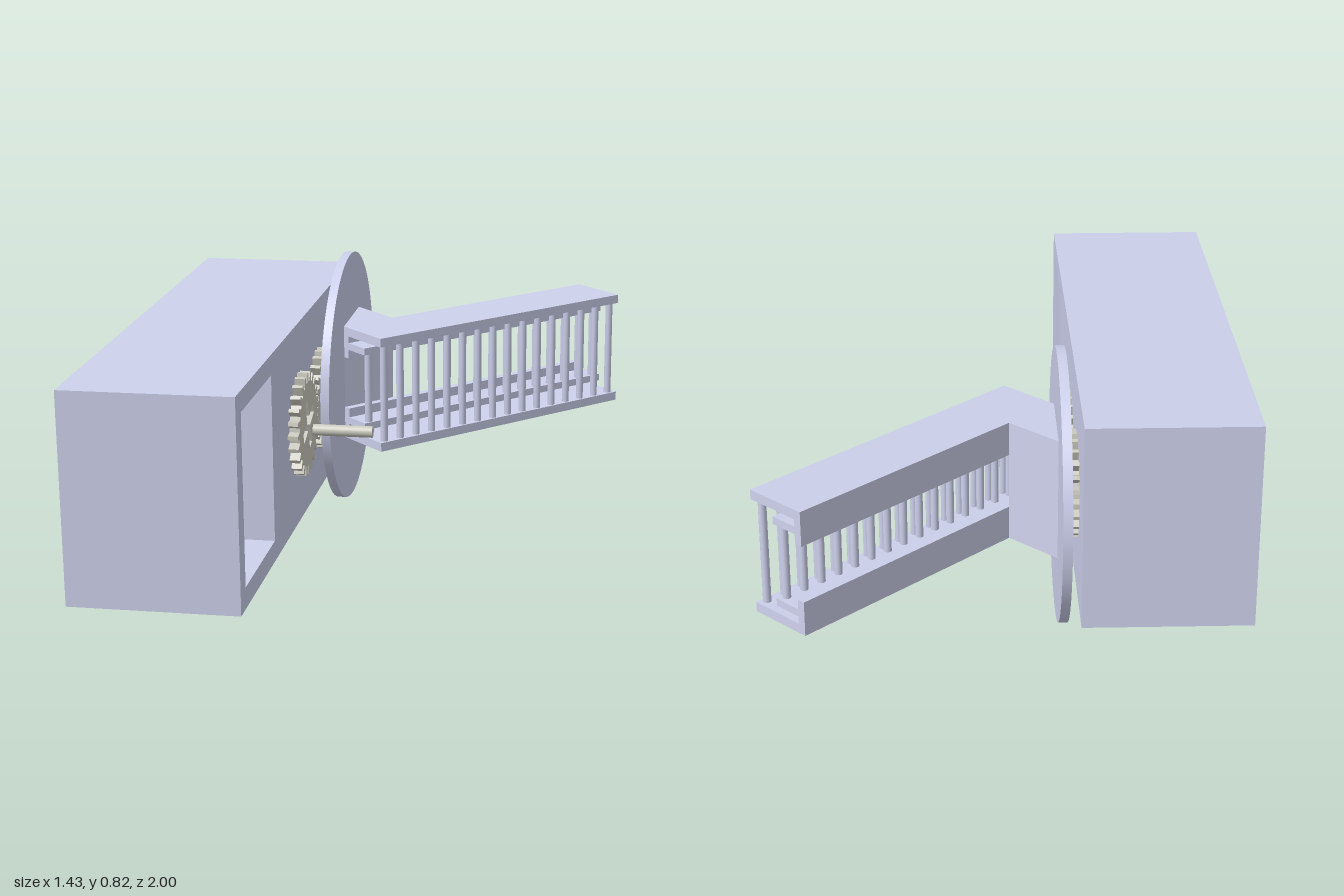
import * as THREE from 'three';

const grey = new THREE.MeshStandardMaterial({ color: 0xccd0eb });
const gearGrey = new THREE.MeshStandardMaterial({ color: 0xcccbc0 });

// Outline whose points are [z, y]; it is extruded along x.
const toPath = (pts, Type = THREE.Shape) =>
  new Type(pts.map(([z, y]) => new THREE.Vector2(-z, y)).reverse());
const rect = (z0, z1, y0, y1) => [[z0, y0], [z1, y0], [z1, y1], [z0, y1]];

function slab(name, shape, x0, x1, material = grey) {
  const geo = new THREE.ExtrudeGeometry(shape, { depth: x1 - x0, bevelEnabled: false });
  geo.rotateY(Math.PI / 2);
  geo.translate(x0, 0, 0);
  const mesh = new THREE.Mesh(geo, material);
  mesh.name = name;
  return mesh;
}

function rod(name, radius, length, sides, material = grey) {
  const mesh = new THREE.Mesh(new THREE.CylinderGeometry(radius, radius, length, sides), material);
  mesh.name = name;
  return mesh;
}

// Long case with a front compartment open on the left and a rear one open on the right
function makeCase() {
  const group = new THREE.Group();
  group.name = 'case';
  const front = rect(0.413, 0.793, -0.254, 0.254);
  const rear = rect(-0.793, 0.353, -0.254, 0.254);
  const layers = [
    ['rightWall', -0.715, -0.655, [rear]],
    ['compartments', -0.655, -0.27, [front, rear]],
    ['leftWall', -0.27, -0.21, [front]],
  ];
  for (const [name, x0, x1, holes] of layers) {
    const shape = toPath(rect(-0.8555, 0.8535, -0.317, 0.314));
    shape.holes = holes.map((h) => toPath(h, THREE.Path));
    group.add(slab(name, shape, x0, x1));
  }
  return group;
}

// Spur gear with a cross-shaped bore
function makeGear(name, z, phase) {
  const teeth = 24, step = (Math.PI * 2) / teeth;
  const pts = [];
  for (let i = 0; i < teeth; i++) {
    for (const [f, r] of [[-0.32, 0.134], [-0.14, 0.162], [0.14, 0.162], [0.32, 0.134]]) {
      const a = (i + f) * step + phase;
      pts.push([r * Math.cos(a), r * Math.sin(a)]);
    }
  }
  const shape = toPath(pts);
  const w = 0.017, l = 0.082, turn = 0.37;
  const cross = [];
  for (let q = 0; q < 4; q++) {
    for (const [u, v] of [[l, -w], [l, w], [w, w]]) {
      const a = Math.atan2(v, u) + (q * Math.PI) / 2 - turn;
      const r = Math.hypot(u, v);
      cross.push([r * Math.cos(a), r * Math.sin(a)]);
    }
  }
  shape.holes.push(toPath(cross, THREE.Path));
  const gear = slab(name, shape, -0.21, -0.178, gearGrey);
  gear.position.z = z;
  return gear;
}

// Angled arm: two stepped rails joined by two rows of bars, on a triangular bracket
function makeArm() {
  const arm = new THREE.Group();
  arm.name = 'arm';
  const length = 1.012, depth = 0.205, half = 0.189;
  const section = [
    [0, half], [depth, half], [depth, 0.16], [0.025, 0.16], [0.025, 0.138],
    [0.115, 0.138], [0.115, 0.115], [0.025, 0.115], [0.025, 0.085], [0, 0.085],
  ];
  for (const s of [1, -1]) {
    const shape = toPath(section.map(([z, y]) => [z, y * s]));
    arm.add(slab(s > 0 ? 'upperRail' : 'lowerRail', shape, 0, length));
  }
  const rows = [['frontBar', 0.187, 0.325], ['innerBar', 0.1, 0.235]];
  const count = 16;
  for (const [name, z, height] of rows) {
    for (let i = 0; i < count; i++) {
      const bar = rod(name, 0.012, height, 12);
      bar.position.set(0.025 + (i * (length - 0.05)) / (count - 1), 0, z);
      arm.add(bar);
    }
  }
  // Bracket between the back of the arm and the disc
  const tri = new THREE.Shape([[0, 0], [0.196, 0], [0.196, 0.196]].map(([x, y]) => new THREE.Vector2(x, y)));
  const geo = new THREE.ExtrudeGeometry(tri, { depth: half * 2, bevelEnabled: false });
  geo.rotateX(-Math.PI / 2);
  geo.translate(0, -half, 0);
  const bracket = new THREE.Mesh(geo, grey);
  bracket.name = 'armBracket';
  arm.add(bracket);
  arm.position.set(-0.148, 0.009, -0.404);
  arm.rotation.y = Math.PI / 4;
  return arm;
}

export function createModel() {
  const model = new THREE.Group();
  model.name = 'gearedArmMachine';
  const body = new THREE.Group();
  body.name = 'tiltedBody';
  body.position.set(0, 0.386, 0.13);
  body.rotation.x = 0.052;
  model.add(body);

  body.add(makeCase());

  // Gear train along the case side
  const half = Math.PI / 24;
  body.add(makeGear('crankGear', 0.045, 0));
  body.add(makeGear('middleGear', -0.248, half));
  body.add(makeGear('discGear', -0.541, 0));

  // Crank pin on the first gear
  const pin = rod('crankPin', 0.018, 0.22, 24, gearGrey);
  pin.rotation.z = Math.PI / 2;
  pin.position.set(-0.1, -0.042, -0.028);
  body.add(pin);

  // Turning disc that carries the arm
  const disc = rod('disc', 0.412, 0.028, 72);
  disc.rotation.z = Math.PI / 2;
  disc.position.set(-0.162, -0.002, -0.541);
  body.add(disc);

  body.add(makeArm());
  return model;
}
